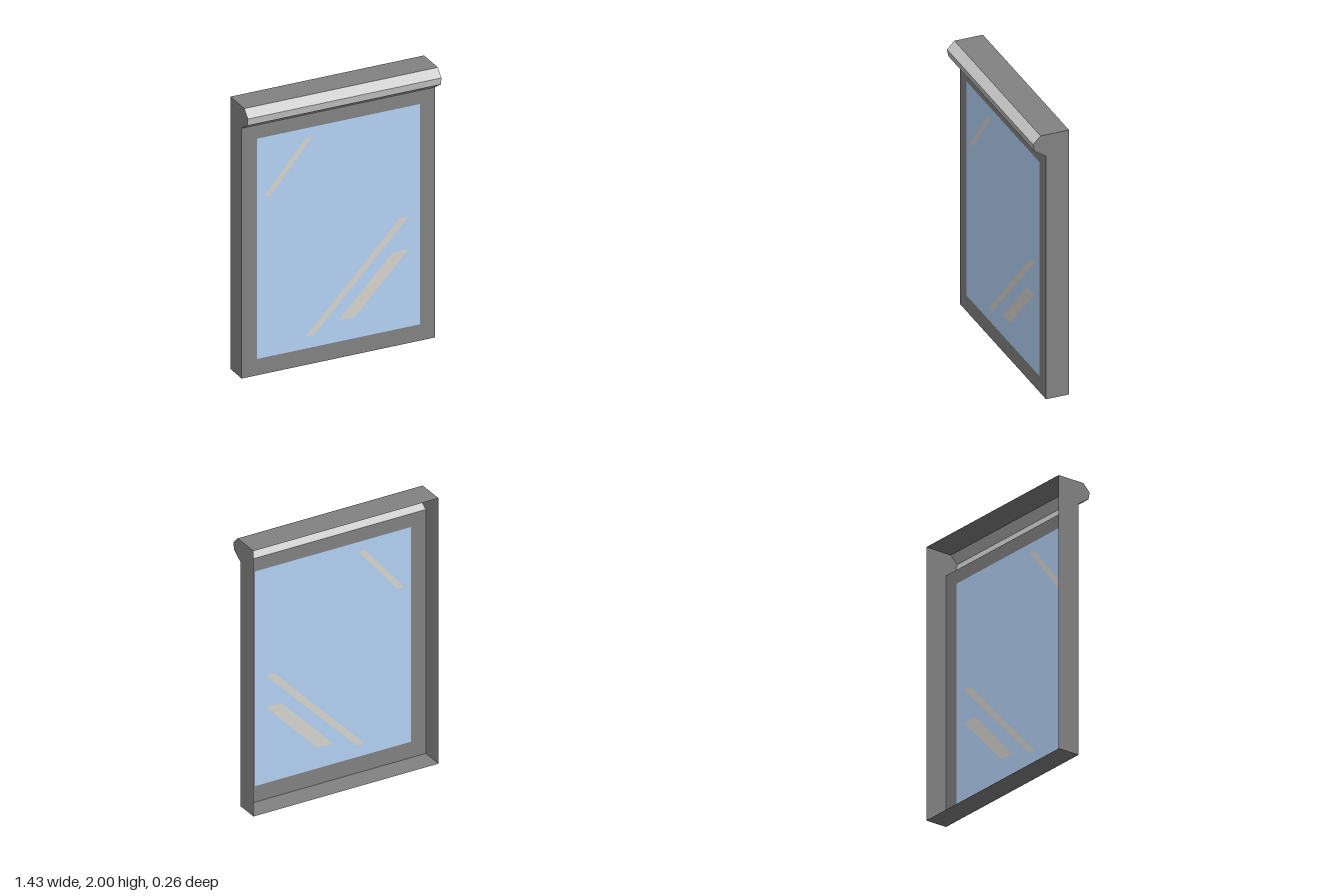
import * as THREE from 'three';

const W = 0.716, BACK = -0.13, FRONT = 0.036;
// Side outline as [z, y]: back top, round the hood, down to the front foot, back foot
const OUTLINE = [[BACK, 2], [0.076, 2], [0.13, 1.946], [0.12, 1.893], [FRONT, 1.838], [FRONT, 0], [BACK, 0]];

const material = (color) => new THREE.MeshStandardMaterial({ color, side: THREE.DoubleSide, flatShading: true });
const toPoints = (list) => list.map(([x, y]) => new THREE.Vector2(x, y));
const rect = (x0, y0, x1, y1) => [[x0, y0], [x1, y0], [x1, y1], [x0, y1]];

// Flat sheet from an outline with optional openings
function sheet(outline, openings = []) {
  const shape = new THREE.Shape(toPoints(outline));
  for (const o of openings) shape.holes.push(new THREE.Path(toPoints(o).reverse()));
  return new THREE.ShapeGeometry(shape);
}

// Strip of flat facets along x that follows a [z, y] path
function strip(path) {
  const pos = [];
  for (let i = 0; i < path.length - 1; i++) {
    const [za, ya] = path[i], [zb, yb] = path[i + 1];
    pos.push(-W, ya, za, -W, yb, zb, W, yb, zb, -W, ya, za, W, yb, zb, W, ya, za);
  }
  const g = new THREE.BufferGeometry();
  g.setAttribute('position', new THREE.Float32BufferAttribute(pos, 3));
  g.computeVertexNormals();
  return g;
}

export function createModel() {
  const model = new THREE.Group();
  model.name = 'window';
  const frameMat = material(0x828282), hoodMat = material(0xcccccc);
  const glassMat = material(0xb4d2f6), glintMat = material(0xd8d5d0);
  const add = (name, geometry, mat, z = 0) => {
    const mesh = new THREE.Mesh(geometry, mat);
    mesh.name = name;
    mesh.position.z = z;
    model.add(mesh);
    return mesh;
  };

  // Front face of the frame, with the opening for the pane
  const opening = rect(-0.603, 0.12, 0.603, 1.738);
  add('frontFrame', sheet(rect(-W, 0, W, 1.838), [opening]), frameMat, FRONT);

  // Pane, with the slanted reflections set into it
  const glints = [
    [[-0.55, 1.3], [-0.5, 1.3], [-0.19, 1.67], [-0.24, 1.67]],
    [[-0.24, 0.21], [-0.18, 0.21], [0.52, 0.93], [0.455, 0.93]],
    [[0, 0.275], [0.12, 0.275], [0.52, 0.69], [0.4, 0.69]],
  ];
  add('glass', sheet(opening, glints), glassMat, FRONT);
  glints.forEach((g, i) => add('reflection' + (i + 1), sheet(g), glintMat, FRONT));

  // Side walls, including the ends of the hood; the back stays open
  for (const [name, x] of [['leftWall', W], ['rightWall', -W]]) {
    const wall = add(name, sheet(OUTLINE.map(([z, y]) => [-z, y])), frameMat);
    wall.rotation.y = Math.PI / 2;
    wall.position.x = x;
  }

  // Top, hood facets and sill
  add('topPanel', strip(OUTLINE.slice(0, 2)), frameMat);
  add('hood', strip(OUTLINE.slice(1, 5)), hoodMat);
  add('bottomPanel', strip(OUTLINE.slice(5)), frameMat);
  return model;
}
